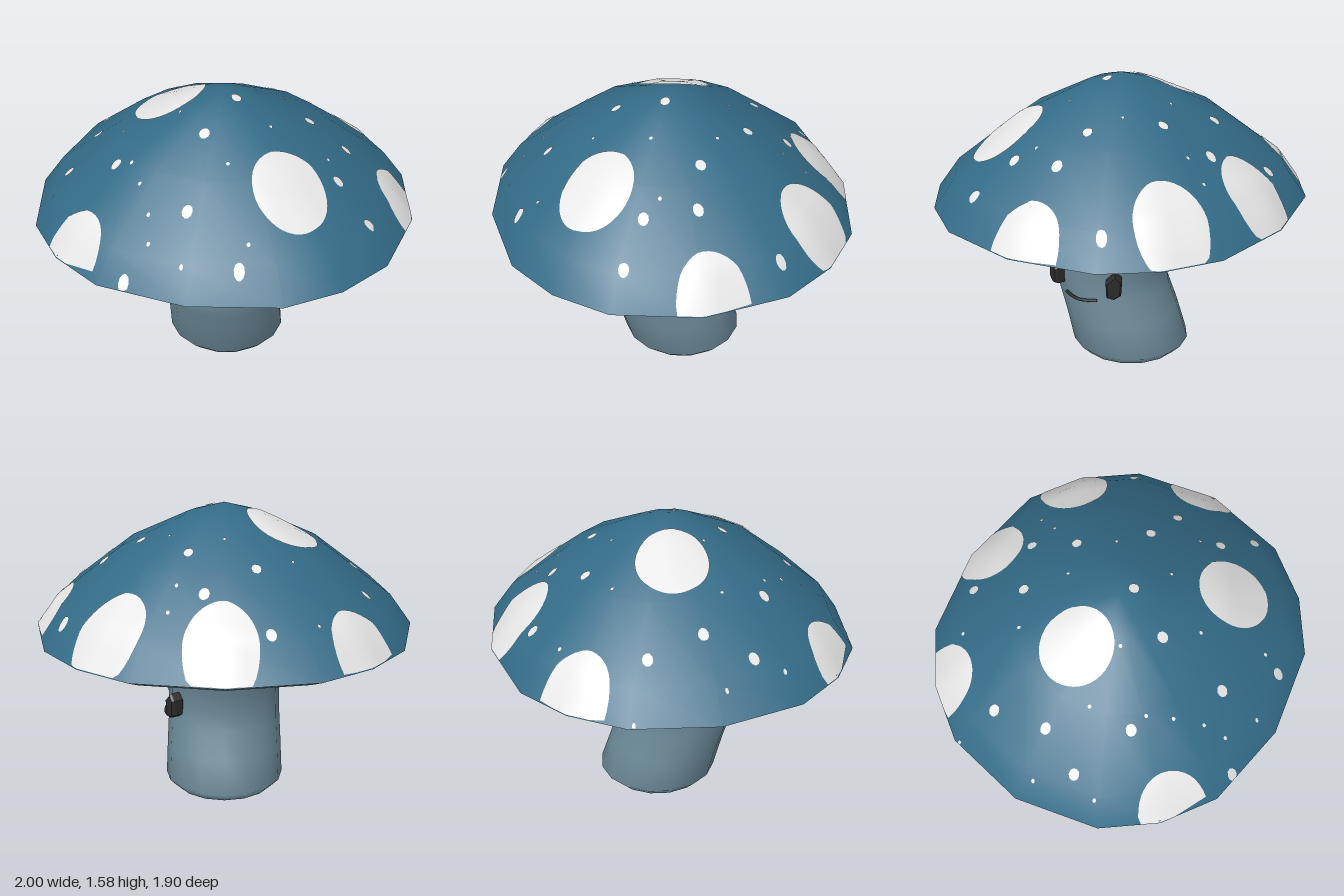
import * as THREE from 'three';
import { mergeVertices } from 'three/addons/utils/BufferGeometryUtils.js';

const material = (name, color, side = THREE.FrontSide) => {
  const m = new THREE.MeshStandardMaterial({ color, side });
  m.name = name;
  return m;
};

// Cap outline, sixteen corners from a mirrored quarter, starting at +z towards +x
const quarter = [[0, 0.95], [0.46, 0.87], [0.72, 0.69], [0.91, 0.435], [1, 0]];
const half = [...quarter, ...quarter.slice(0, 4).reverse().map(([x, z]) => [x, -z])];
const rim = [...half, ...half.slice(1, 8).reverse().map(([x, z]) => [-x, z])];
const sides = rim.length;

// Cap profile as [scale of outline, height], rim to tip
const capProfile = [[1, 0.915], [0.885, 1.075], [0.54, 1.345], [0.2, 1.515], [0, 1.58]];

// A lathe whose points are moved by a rule, then smoothed
function shapedLathe(profile, move) {
  const g = new THREE.LatheGeometry(profile.map(([r, y]) => new THREE.Vector2(r, y)), sides);
  const p = g.attributes.position;
  for (let i = 0; i < p.count; i++) {
    const segment = Math.floor(i / profile.length) % sides;
    const ring = i % profile.length;
    p.setXYZ(i, ...move(p.getX(i), p.getY(i), p.getZ(i), segment, ring));
  }
  g.deleteAttribute('uv');
  g.deleteAttribute('normal');
  const merged = mergeVertices(g, 1e-4);
  merged.computeVertexNormals();
  return merged;
}

// Finds which scaled copy of the outline passes through a point
function outlineScale(x, z) {
  let s = 0;
  for (let i = 0; i < sides; i++) {
    const [ax, az] = rim[i], [bx, bz] = rim[(i + 1) % sides];
    const d = ax * bz - az * bx;
    s = Math.max(s, ((x * bz - z * bx) + (ax * z - az * x)) / d);
  }
  return s;
}

function capHeight(x, z) {
  const s = outlineScale(x, z);
  let k = 0;
  while (k < capProfile.length - 2 && s < capProfile[k + 1][0]) k++;
  const [s0, y0] = capProfile[k], [s1, y1] = capProfile[k + 1];
  return y0 + (y1 - y0) * (s - s0) / (s1 - s0);
}

// Round spot draped over the cap and trimmed at its rim
function spotGeometry(cx, cz, radius) {
  const big = radius > 0.1;
  const g = new THREE.RingGeometry(0, radius, big ? 40 : 10, big ? 9 : 1);
  g.rotateX(-Math.PI / 2);
  const p = g.attributes.position, n = g.attributes.normal, v = new THREE.Vector3(), h = 0.1;
  for (let i = 0; i < p.count; i++) {
    const dx = p.getX(i), dz = p.getZ(i), len = Math.hypot(dx, dz);
    let reach = 1;
    if (len > 0) {
      const ux = dx / len * radius, uz = dz / len * radius;
      if (outlineScale(cx + ux, cz + uz) > 1) {
        let lo = 0, hi = 1;
        for (let k = 0; k < 16; k++) {
          const mid = (lo + hi) / 2;
          if (outlineScale(cx + ux * mid, cz + uz * mid) > 1) hi = mid; else lo = mid;
        }
        reach = lo;
      }
    }
    const x = cx + dx * reach, z = cz + dz * reach;
    p.setXYZ(i, x, capHeight(x, z) + 0.006, z);
    v.set((capHeight(x - h, z) - capHeight(x + h, z)) / (2 * h), 1,
      (capHeight(x, z - h) - capHeight(x, z + h)) / (2 * h)).normalize();
    n.setXYZ(i, v.x, v.y, v.z);
  }
  return g;
}

export function createModel() {
  const model = new THREE.Group();
  model.name = 'mushroom';
  const capBlue = material('cap blue', 0x336b87);
  const spotWhite = material('spot white', 0xe8e8e8);
  const stemGrey = material('stem grey blue', 0x6a8896);
  const faceDark = material('face dark', 0x2c2a2a, THREE.DoubleSide);

  const add = (name, geometry, mat, parent = model) => {
    const mesh = new THREE.Mesh(geometry, mat);
    mesh.name = name;
    parent.add(mesh);
    return mesh;
  };

  // Cap top and underside share the same outline
  const onOutline = (profile) => shapedLathe(profile, (x, y, z, seg, ring) =>
    [rim[seg][0] * profile[ring][0], y, rim[seg][1] * profile[ring][0]]);
  add('capTop', onOutline(capProfile), capBlue);
  add('capUnderside', onOutline([[0, 0.75], [0.3, 0.75], [0.9, 0.87], [1, 0.915]]), stemGrey);

  // Spots in three sizes
  const spots = new THREE.Group();
  spots.name = 'spots';
  model.add(spots);
  const large = [[-0.3, -0.06], [0.41, 0.43], [0.02, -0.82], [0.565, -0.645], [-0.7, -0.66],
    [-0.655, 0.735], [0.975, -0.06]];
  const small = [[-0.22, -0.76], [0.1, -0.595], [-0.155, -0.47], [0.18, -0.365], [-0.72, -0.29],
    [-0.68, -0.005], [0.07, 0.04], [0.43, -0.08], [0.63, -0.035], [0.81, -0.41], [-0.78, 0.22],
    [-0.48, 0.365], [-0.045, 0.275], [0.625, 0.23], [0.8, 0.35], [-0.055, 0.635], [0.235, 0.815],
    [-0.32, 0.875]];
  const tiny = [[-0.455, -0.665], [0.275, -0.655], [0.235, -0.54], [-0.34, -0.375], [0, -0.3],
    [0.28, -0.19], [-0.9, 0.05], [-0.5, 0.14], [-0.2, 0.13], [0.265, 0.14], [0.56, 0.14],
    [-0.825, 0.365], [-0.39, 0.395], [-0.32, 0.51], [0.1, 0.41], [0.48, 0.515], [0.26, 0.715],
    [-0.245, 0.645], [-0.22, 0.76], [-0.04, 0.845], [-0.91, -0.405]];
  for (const [name, list, radius] of [['largeSpot', large, 0.185], ['smallSpot', small, 0.027],
    ['tinySpot', tiny, 0.009]]) {
    for (const [x, z] of list) add(name, spotGeometry(x, z, radius), spotWhite, spots);
  }

  // Bent stem with a rounded foot
  const stem = [[0, 0], [0.19, 0], [0.27, 0.022], [0.318, 0.07], [0.312, 0.24], [0.306, 0.38],
    [0.304, 0.48], [0.302, 0.6], [0.302, 0.77]];
  const bend = [-0.065, -0.065, -0.065, -0.065, -0.01, 0.045, 0.062, 0.05, -0.005];
  add('stem', shapedLathe(stem, (x, y, z, seg, ring) => [x, y, z + bend[ring]]), stemGrey);

  // Mirrored eyes on the +x side of the stem
  const eyeOutline = [[0.008, 0.072], [0.042, 0.04], [0.038, -0.045], [0, -0.068], [-0.036, -0.058],
    [-0.04, 0.025]];
  for (const side of [1, -1]) {
    const shape = new THREE.Shape(eyeOutline.map(([u, v]) => new THREE.Vector2(-side * u, v)));
    const geometry = new THREE.ExtrudeGeometry(shape, {
      depth: 0.045, bevelEnabled: true, bevelThickness: 0.012, bevelSize: 0.008,
      bevelOffset: -0.006, bevelSegments: 1,
    });
    const eye = add(side > 0 ? 'leftEye' : 'rightEye', geometry, faceDark);
    eye.position.set(0.25, 0.49, 0.052 + side * 0.168);
    eye.rotation.y = Math.PI / 2 - side * Math.PI / 6;
  }

  // Gently curved mouth
  const mouth = new THREE.CatmullRomCurve3([[0.302, 0.397, 0.155], [0.318, 0.388, 0.105],
    [0.324, 0.384, 0.055], [0.318, 0.388, 0.01], [0.304, 0.395, -0.042]]
    .map((p) => new THREE.Vector3(...p)));
  add('mouth', new THREE.TubeGeometry(mouth, 12, 0.009, 6), faceDark);

  return model;
}
